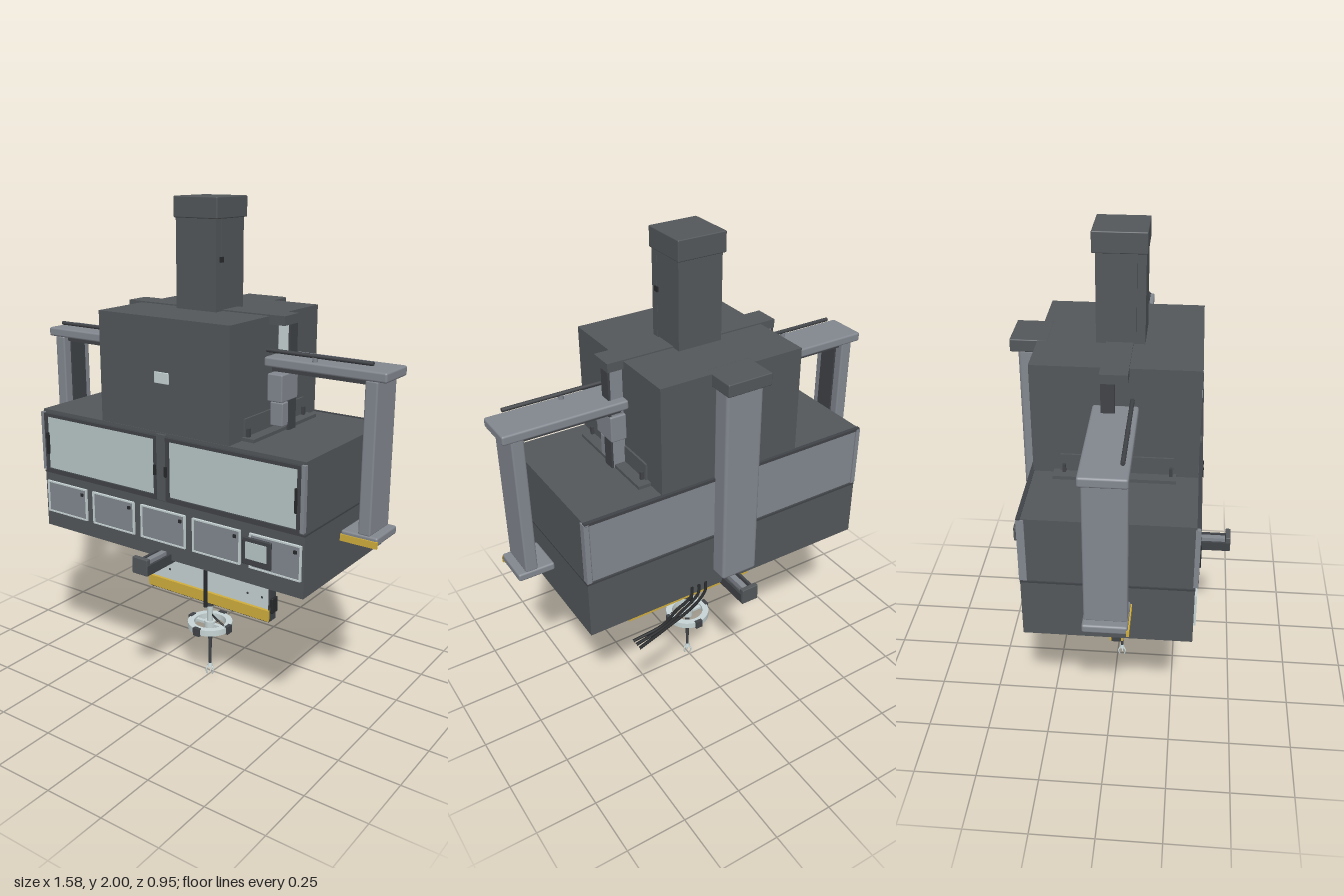
import * as THREE from 'three';
import { RoundedBoxGeometry } from 'three/addons/geometries/RoundedBoxGeometry.js';

const mat = (name, color) => {
  const m = new THREE.MeshStandardMaterial({ color });
  m.name = name;
  return m;
};

export function createModel() {
  const root = new THREE.Group();
  root.name = 'processingMachine';
  const dark = mat('charcoal', 0x53575a);
  const frame = mat('darkFrame', 0x404347);
  const grey = mat('steelGrey', 0x82878f);
  const glass = mat('paleGlass', 0xb9c8c7);
  const pale = mat('paleMetal', 0xc6d3d4);
  const yellow = mat('yellow', 0xd0ad3c);
  const black = mat('black', 0x27292b);

  const add = (name, geo, m, parent = root) => {
    const mesh = new THREE.Mesh(geo, m);
    mesh.name = name;
    parent.add(mesh);
    return mesh;
  };
  // Box given by its limits; r > 0 rounds the edges
  const box = (name, m, [x0, x1], [y0, y1], [z0, z1], r = 0, parent = root) => {
    const s = [x1 - x0, y1 - y0, z1 - z0];
    const mesh = add(name, r ? new RoundedBoxGeometry(...s, 2, r) : new THREE.BoxGeometry(...s), m, parent);
    mesh.position.set((x0 + x1) / 2, (y0 + y1) / 2, (z0 + z1) / 2);
    return mesh;
  };
  // Same box on the left and the right
  const pair = (name, m, [x0, x1], y, z, r = 0) => {
    box(name + 'Left', m, [x0, x1], y, z, r);
    box(name + 'Right', m, [-x1, -x0], y, z, r);
  };
  // Upright cylinder
  const rod = (name, m, r0, r1, y0, y1, x, z, n = 16) => {
    const mesh = add(name, new THREE.CylinderGeometry(r1, r0, y1 - y0, n), m);
    mesh.position.set(x, (y0 + y1) / 2, z);
    return mesh;
  };
  const tube = (name, m, pts, r) => add(name, new THREE.TubeGeometry(
    new THREE.CatmullRomCurve3(pts.map((p) => new THREE.Vector3(...p))), 32, r, 8), m);
  // Rectangular border in the xy plane
  const border = (name, m, [x0, x1], [y0, y1], [z0, z1], t) => {
    const g = new THREE.Group();
    g.name = name;
    root.add(g);
    box('topEdge', m, [x0, x1], [y1 - t, y1], [z0, z1], 0, g);
    box('bottomEdge', m, [x0, x1], [y0, y0 + t], [z0, z1], 0, g);
    box('leftEdge', m, [x1 - t, x1], [y0 + t, y1 - t], [z0, z1], 0, g);
    box('rightEdge', m, [x0, x0 + t], [y0 + t, y1 - t], [z0, z1], 0, g);
  };

  // Cabinet
  box('lowerCabinet', dark, [-0.622, 0.622], [0.65, 0.888], [-0.297, 0.325]);
  box('upperCabinet', dark, [-0.618, 0.618], [0.888, 1.155], [-0.292, 0.322]);
  box('cabinetSeam', frame, [-0.623, 0.623], [0.885, 0.892], [-0.298, 0.327]);
  box('bottomPlate', frame, [-0.35, 0.35], [0.636, 0.65], [-0.06, 0.1]);

  // Front windows
  for (const s of [-1, 1]) {
    const x = s < 0 ? [-0.605, -0.022] : [0.022, 0.605];
    box('frontWindow', glass, [x[0] + 0.01, x[1] - 0.01], [0.905, 1.13], [0.322, 0.328]);
    border('windowFrame', frame, x, [0.895, 1.142], [0.322, 0.337], 0.013);
    box('windowHandle', black, [s * 0.026 - 0.005, s * 0.026 + 0.005], [0.99, 1.03], [0.337, 0.345]);
    box('windowHinge', black, [s * 0.59 - 0.005, s * 0.59 + 0.005], [0.97, 1.06], [0.33, 0.341]);
  }
  box('centreMullion', dark, [-0.022, 0.022], [0.89, 1.15], [0.32, 0.334]);
  pair('frontCornerPost', grey, [0.607, 0.622], [0.9, 1.145], [0.318, 0.336]);

  // Rear panels
  for (const x of [[-0.6, -0.01], [0.01, 0.6]])
    box('rearPanel', grey, x, [0.9, 1.145], [-0.298, -0.291]);
  pair('rearCornerPost', grey, [0.604, 0.623], [0.895, 1.152], [-0.3, -0.272]);
  box('rearTopRail', frame, [-0.62, 0.62], [1.145, 1.157], [-0.3, -0.285]);

  // Small doors along the lower front
  [-0.5, -0.25, 0, 0.25, 0.505].forEach((x) => {
    box('doorPanel', grey, [x - 0.1, x + 0.1], [0.722, 0.845], [0.325, 0.33]);
    border('doorFrame', pale, [x - 0.108, x + 0.108], [0.716, 0.851], [0.325, 0.334], 0.006);
    box('doorLatch', black, [x + 0.078, x + 0.09], [0.818, 0.83], [0.33, 0.336]);
  });
  box('controlPanel', frame, [0.372, 0.494], [0.73, 0.836], [0.33, 0.341], 0.004);
  box('controlScreen', glass, [0.388, 0.478], [0.755, 0.82], [0.341, 0.344]);

  // Tower, chimney column and head cap
  box('tower', dark, [-0.3, 0.3], [1.155, 1.585], [-0.288, 0.32]);
  box('towerBadge', pale, [-0.033, 0.033], [1.342, 1.385], [0.32, 0.326], 0.002);
  box('topColumn', dark, [-0.092, 0.092], [1.585, 1.93], [-0.072, 0.075]);
  box('topColumnFront', dark, [-0.092, 0.092], [1.585, 1.93], [0.076, 0.108]);
  box('topColumnCap', dark, [-0.1, 0.1], [1.922, 2], [-0.085, 0.113], 0.004);
  box('columnButton', black, [0.09, 0.098], [1.765, 1.785], [0.065, 0.085]);
  box('crossBeam', dark, [-0.365, 0.365], [1.555, 1.59], [-0.035, 0.065]);

  // Lift posts beside the tower
  pair('liftPost', grey, [0.305, 0.355], [1.155, 1.555], [-0.03, 0.01]);
  pair('liftPostFace', pale, [0.31, 0.35], [1.36, 1.555], [0.01, 0.016]);
  pair('liftPostEdge', frame, [0.355, 0.364], [1.155, 1.555], [-0.03, 0.02]);
  pair('liftCarriage', grey, [0.3, 0.365], [1.27, 1.375], [-0.04, 0.075], 0.005);
  pair('liftMotor', grey, [0.305, 0.36], [1.175, 1.265], [-0.03, 0.06], 0.004);
  pair('towerSidePlate', dark, [0.3, 0.308], [1.165, 1.235], [-0.185, 0.23]);
  pair('floorRail', dark, [0.3, 0.352], [1.155, 1.168], [-0.21, 0.24]);
  for (const z of [-0.17, 0.22])
    pair('railStop', frame, [0.31, 0.322], [1.165, 1.2], [z - 0.006, z + 0.006]);

  // Side gantry arms
  pair('armBeam', grey, [0.3, 0.79], [1.405, 1.442], [-0.065, 0.1], 0.008);
  pair('armUnderRail', frame, [0.32, 0.705], [1.387, 1.405], [-0.04, 0.075]);
  pair('armColumn', grey, [0.708, 0.757], [0.84, 1.408], [-0.056, 0.097], 0.007);
  pair('armColumnTrack', frame, [0.7, 0.709], [0.845, 1.405], [-0.02, 0.06]);
  pair('armFoot', grey, [0.642, 0.788], [0.812, 0.844], [-0.06, 0.1], 0.008);
  pair('armFootStripe', yellow, [0.642, 0.788], [0.804, 0.83], [0.094, 0.105]);
  for (const s of [-1, 1]) {
    const r = add('guideRod', new THREE.CylinderGeometry(0.008, 0.008, 0.43, 12), frame);
    r.rotation.z = Math.PI / 2;
    r.position.set(s * 0.513, 1.463, 0.077);
    rod('guideRodStand', grey, 0.01, 0.01, 1.44, 1.458, s * 0.5, 0.077, 10);
  }

  // Rear column
  box('rearColumn', grey, [-0.078, 0.078], [0.72, 1.54], [-0.365, -0.285], 0.012);
  box('rearColumnCap', dark, [-0.092, 0.092], [1.537, 1.586], [-0.392, -0.25], 0.004);

  // Lower slide running front to back
  box('slideBeam', dark, [-0.025, 0.025], [0.636, 0.66], [-0.43, 0.47]);
  for (const x of [-0.032, 0.032])
    box('slideFlange', frame, [x - 0.005, x + 0.005], [0.636, 0.675], [-0.43, 0.47]);
  for (const [a, b] of [[0.452, 0.472], [-0.44, -0.42]])
    box('slideEnd', dark, [-0.036, 0.036], [0.634, 0.7], [a, b], 0.003);
  box('slideInner', grey, [-0.012, 0.012], [0.66, 0.68], [-0.42, 0.45]);
  box('slideCarriage', pale, [-0.05, 0.05], [0.592, 0.634], [-0.05, 0.092], 0.005);
  box('slideCarriageCore', frame, [-0.025, 0.025], [0.605, 0.64], [-0.055, 0.098]);

  // Hanging board with yellow lower band
  box('hangingBoard', pale, [-0.305, 0.305], [0.39, 0.637], [0.005, 0.035]);
  box('boardBand', yellow, [-0.308, 0.308], [0.35, 0.397], [-0.008, 0.048]);
  box('boardFoot', black, [-0.305, 0.305], [0.344, 0.352], [0, 0.04]);
  pair('boardEdge', frame, [0.302, 0.312], [0.35, 0.637], [0, 0.04]);
  pair('boardClamp', black, [0.306, 0.322], [0.385, 0.45], [0, 0.04], 0.003);
  for (const x of [0.04, 0.1])
    pair('hoseHook', frame, [x - 0.005, x + 0.005], [0.612, 0.637], [-0.01, 0.05]);
  for (const x of [-0.27, -0.2, 0.2, 0.27])
    box('boardScrew', frame, [x - 0.004, x + 0.004], [0.44, 0.448], [0.003, 0.037]);

  // Draped hose and rear cables
  tube('drapedHose', black, [[-0.33, 0.63, 0.045], [-0.29, 0.565, 0.048], [-0.2, 0.522, 0.05],
    [-0.1, 0.555, 0.05], [0, 0.56, 0.055], [0.11, 0.512, 0.05], [0.22, 0.555, 0.05], [0.33, 0.625, 0.045]], 0.007);
  for (let i = 0; i < 3; i++) {
    const x = 0.11 + i * 0.032, z = -0.468 + i * 0.023;
    tube('rearCable', black, [[x, 0.68, -0.29], [x + 0.04, 0.685, -0.345], [x + 0.12, 0.68, -0.39 + i * 0.008],
      [0.38, 0.672, z + 0.035 - i * 0.012], [0.515, 0.667, z]], 0.006);
  }

  // Tool spindle, ring and gripper
  const z = 0.02;
  rod('spindleFront', black, 0.008, 0.008, 0.33, 0.6, 0, 0.052, 12);
  rod('spindleRear', black, 0.008, 0.008, 0.33, 0.6, 0, -0.014, 12);
  rod('spindleSocket', frame, 0.02, 0.02, 0.328, 0.347, 0, z);
  rod('spindleNeck', pale, 0.013, 0.013, 0.22, 0.33, 0, z);
  rod('ringHub', pale, 0.024, 0.024, 0.225, 0.255, 0, z);
  const ringShape = new THREE.Shape().absarc(0, 0, 0.095, 0, Math.PI * 2);
  ringShape.holes.push(new THREE.Path().absarc(0, 0, 0.068, 0, Math.PI * 2, true));
  const ring = add('toolRing', new THREE.ExtrudeGeometry(ringShape,
    { depth: 0.026, bevelEnabled: false, curveSegments: 24 }), pale);
  ring.rotation.x = -Math.PI / 2;
  ring.position.set(0, 0.227, z);
  box('ringSpoke', pale, [-0.07, 0.07], [0.235, 0.245], [z - 0.008, z + 0.008]);
  for (let i = 0; i < 4; i++) {
    const a = i * Math.PI / 2;
    const lug = add('ringLug', new THREE.BoxGeometry(0.016, 0.034, 0.032), frame);
    lug.position.set(Math.cos(a) * 0.094, 0.24, z + Math.sin(a) * 0.094);
    lug.rotation.y = -a;
  }
  tube('ringHose', black, [[0.01, 0.285, z], [0.04, 0.275, z + 0.01], [0.08, 0.255, z + 0.01]], 0.004);
  rod('toolShaftUpper', frame, 0.01, 0.011, 0.17, 0.225, 0, z);
  rod('toolShaftLower', frame, 0.006, 0.008, 0.05, 0.17, 0, z);
  rod('gripperHead', pale, 0.012, 0.008, 0.036, 0.052, 0, z);
  for (let i = 0; i < 3; i++) {
    const a = i * Math.PI * 2 / 3, c = Math.cos(a), s = Math.sin(a);
    tube('gripperFinger', pale, [[c * 0.006, 0.042, z + s * 0.006], [c * 0.018, 0.026, z + s * 0.018],
      [c * 0.012, 0.002, z + s * 0.012]], 0.003);
  }
  return root;
}
